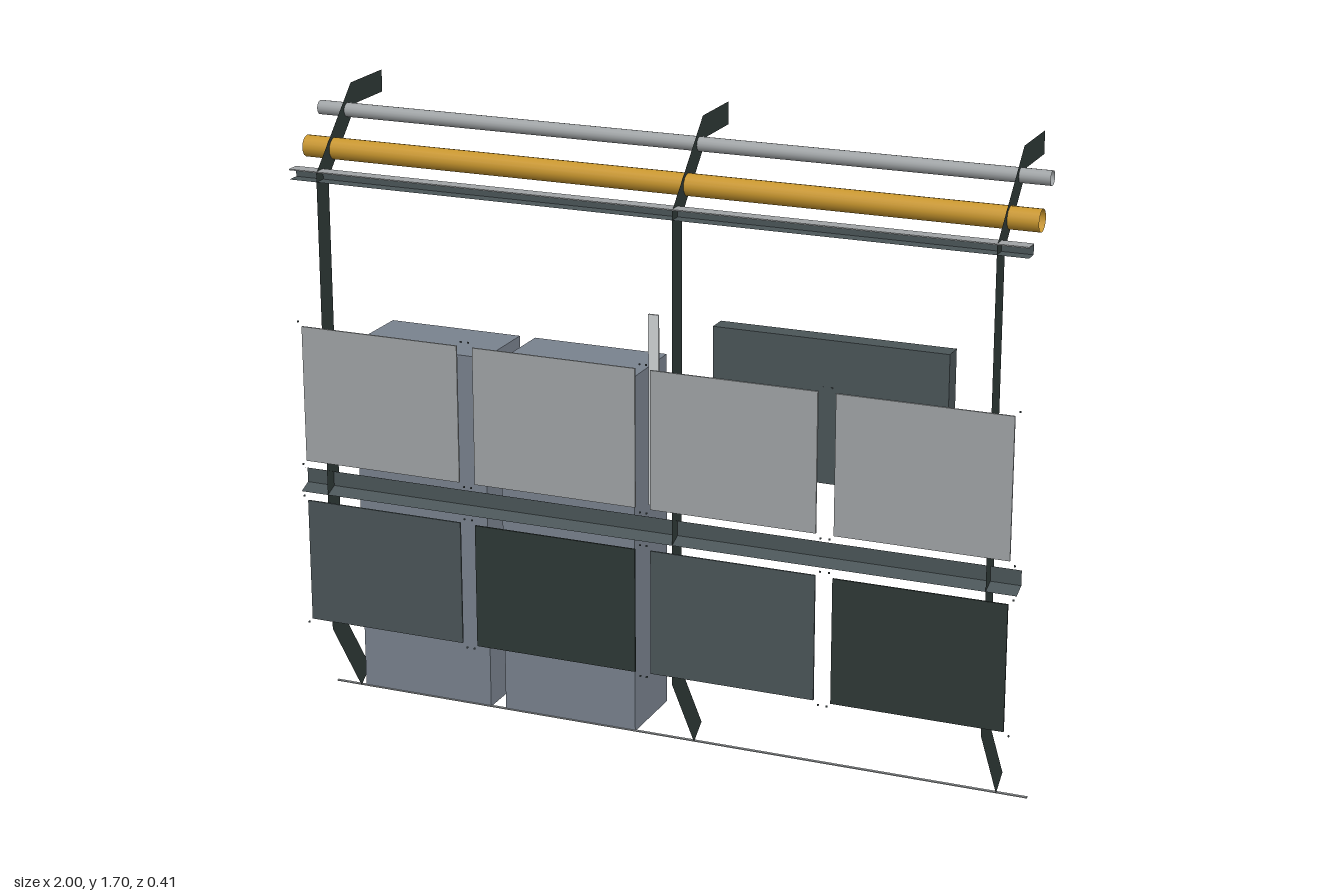
import * as THREE from 'three';

const mat = (name, color) => new THREE.MeshStandardMaterial({ name, color, side: THREE.DoubleSide });

export function createModel() {
  const root = new THREE.Group();
  const M = {
    rib: mat('blackGreen', 0x2e3836),
    dark: mat('darkSlate', 0x4b5558),
    light: mat('paleGrey', 0xa0a4a6),
    cabinet: mat('blueGrey', 0x79828e),
    door: mat('doorGrey', 0x84898d),
    amber: mat('amber', 0xc8962e),
    screen: mat('screenBlue', 0x1f5f7e),
    orange: mat('orange', 0xd0621f),
    white: mat('offWhite', 0xd0d4d6),
  };

  const add = (name, geo, material, parent = root) => {
    const mesh = new THREE.Mesh(geo, material);
    mesh.name = name;
    parent.add(mesh);
    return mesh;
  };
  // box given by its min and max on each axis
  const box = (name, material, x0, x1, y0, y1, z0, z1, parent = root) => {
    const m = add(name, new THREE.BoxGeometry(x1 - x0, y1 - y0, z1 - z0), material, parent);
    m.position.set((x0 + x1) / 2, (y0 + y1) / 2, (z0 + z1) / 2);
    return m;
  };
  // open sheet-metal profile of [z, y] points, swept along x
  const channel = (name, material, profile) => {
    const pos = [];
    for (let i = 0; i + 1 < profile.length; i++) {
      const [za, ya] = profile[i], [zb, yb] = profile[i + 1];
      pos.push(-1, ya, za, -1, yb, zb, 1, yb, zb, -1, ya, za, 1, yb, zb, 1, ya, za);
    }
    const g = new THREE.BufferGeometry();
    g.setAttribute('position', new THREE.Float32BufferAttribute(pos, 3));
    g.computeVertexNormals();
    return add(name, g, material);
  };

  // Flat wall ribs, in [z, y]
  const ribShape = new THREE.Shape([
    [0.045, 0.003], [0.197, 0.228], [0.197, 1.5], [-0.005, 1.7], [-0.18, 1.7],
    [-0.18, 1.64], [-0.033, 1.64], [0.132, 1.475], [0.132, 0.245], [-0.008, 0.04],
  ].map(([z, y]) => new THREE.Vector2(z, y)));
  for (const x of [-0.92, 0.08, 0.92]) {
    add('rib', new THREE.ShapeGeometry(ribShape).rotateY(-Math.PI / 2), M.rib).position.x = x;
  }

  // Overhead pipes, open at the ends
  const pipe = (name, material, r, y, z) => {
    const g = new THREE.CylinderGeometry(r, r, 2, 16, 1, true).rotateZ(Math.PI / 2);
    add(name, g, material).position.set(0, y, z);
  };
  pipe('greyPipe', M.light, 0.019, 1.632, 0.017);
  pipe('amberPipe', M.amber, 0.029, 1.545, 0.094);

  // Upper light rail with a pale top, and the middle bumper rail
  channel('upperRail', M.dark, [[0.197, 1.502], [0.16, 1.502], [0.16, 1.477], [0.197, 1.477]]);
  box('upperRailTop', M.light, -1, 1, 1.502, 1.505, 0.16, 0.198);
  channel('middleRail', M.dark, [[0.197, 0.685], [0.16, 0.67], [0.16, 0.63], [0.197, 0.615]]);

  // Floor seam
  box('floorSeam', M.light, -1, 1, 0, 0.003, 0.03, 0.038);

  // Two rows of wall panels with tiny corner fasteners
  const columns = [[-0.98, -0.525], [-0.48, -0.022], [0.02, 0.472], [0.52, 0.98]];
  columns.forEach(([x0, x1], i) => {
    const odd = i % 2;
    box('upperPanel', M.light, x0, x1, 0.705, 1.08, 0.194, 0.199);
    box('lowerPanel', odd ? M.rib : M.dark, x0, x1, 0.25, 0.592, odd ? 0.198 : 0.194, odd ? 0.203 : 0.199);
    for (const x of [x0 - 0.012, x1 + 0.012]) {
      for (const y of [1.092, 0.693, 0.603, 0.238]) {
        box('fastener', M.dark, x - 0.002, x + 0.002, y - 0.002, y + 0.002, 0.194, 0.198);
      }
    }
  });

  // Slim upright post
  box('post', M.white, -0.014, 0.014, 0.69, 1.205, 0.123, 0.129);

  // Wall display facing the back
  const display = new THREE.Group();
  display.name = 'display';
  root.add(display);
  box('displayCase', M.dark, 0.19, 0.81, 0.84, 1.215, 0.142, 0.195, display);
  box('displayBezel', M.rib, 0.2, 0.8, 0.852, 1.203, 0.135, 0.142, display);
  box('displayScreen', M.screen, 0.215, 0.785, 0.87, 1.188, 0.132, 0.135, display);
  for (let i = 0; i < 3; i++) {
    const y = 0.97 + i * 0.07;
    for (let j = 0; j < 4; j++) {
      const x = 0.28 + j * 0.12;
      box('screenLine', M.dark, x, x + 0.05, y, y + 0.003, 0.131, 0.132, display);
    }
  }
  for (const x of [0.27, 0.285, 0.3, 0.67, 0.685, 0.7]) {
    box('screenMark', M.white, x, x + 0.006, 0.9, 0.906, 0.131, 0.132, display);
  }

  // Equipment cabinets, doors facing the back
  const cabinet = (x0) => {
    const g = new THREE.Group();
    g.name = 'cabinet';
    g.position.x = x0;
    root.add(g);
    const w = 0.385;
    box('cabinetBody', M.cabinet, 0, w, 0, 1, -0.185, 0.035, g);
    box('doorGasket', M.dark, 0.014, w - 0.014, 0.035, 0.978, -0.188, -0.185, g);
    box('door', M.door, 0.022, w - 0.022, 0.043, 0.97, -0.192, -0.188, g);
    box('doorStripe', M.orange, 0.022, w - 0.022, 0.672, 0.69, -0.194, -0.192, g);
    for (let r = 0; r < 7; r++) {
      const y = 0.76 + r * 0.017;
      for (let c = 0; c < 3; c++) {
        const x = 0.09 + c * 0.069;
        box('ventSlot', M.rib, x, x + 0.063, y, y + 0.009, -0.194, -0.192, g);
      }
    }
    box('lock', M.rib, 0.184, 0.192, 0.724, 0.732, -0.194, -0.192, g);
    box('handle', M.rib, 0.045, 0.06, 0.45, 0.56, -0.202, -0.192, g);
  };
  cabinet(-0.91);
  cabinet(-0.48);

  return root;
}
